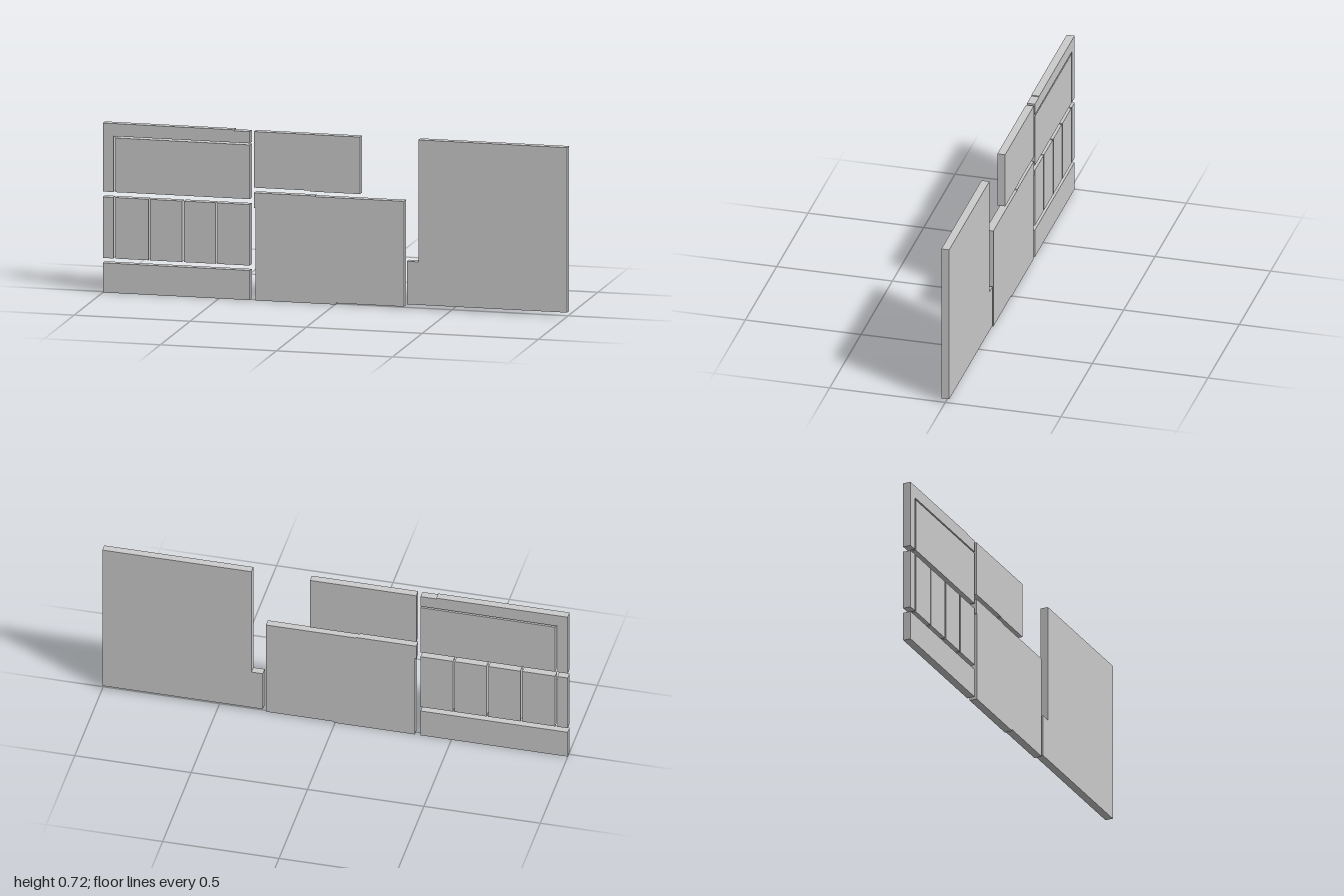
import * as THREE from 'three';

const DEPTH = 0.034;

export function createModel() {
  const group = new THREE.Group();
  const material = new THREE.MeshStandardMaterial({ color: 0xcccccc, flatShading: true });

  // Flat slab cut from an outline in the front plane
  const slab = (name, points) => {
    const shape = new THREE.Shape(points.map(([x, y]) => new THREE.Vector2(x, y)));
    const geometry = new THREE.ExtrudeGeometry(shape, { depth: DEPTH, bevelEnabled: false });
    geometry.translate(0, 0, -DEPTH / 2);
    const mesh = new THREE.Mesh(geometry, material);
    mesh.name = name;
    group.add(mesh);
  };

  // Rectangular slab given by its edges
  const board = (name, x0, x1, y0, y1) => {
    const mesh = new THREE.Mesh(new THREE.BoxGeometry(x1 - x0, y1 - y0, DEPTH), material);
    mesh.position.set((x0 + x1) / 2, (y0 + y1) / 2, 0);
    mesh.name = name;
    group.add(mesh);
  };

  // Right-hand block: corner frame around the upper panel
  slab('cornerFrame', [
    [-1, 0.43], [-0.955, 0.43], [-0.955, 0.668], [-0.367, 0.668],
    [-0.367, 0.718], [-0.435, 0.718], [-0.435, 0.722], [-1, 0.722],
  ]);
  board('upperPanel', -0.946, -0.367, 0.43, 0.661);

  // Row of upright panels
  [[-1, -0.955], [-0.946, -0.804], [-0.796, -0.659], [-0.651, -0.514], [-0.507, -0.367]]
    .forEach(([x0, x1], i) => board(`uprightPanel${i + 1}`, x0, x1, 0.147, 0.407));

  board('basePanel', -1, -0.367, 0, 0.126);

  // Centre slabs, with small steps along their edges
  slab('centreUpperPanel', [
    [-0.349, 0.48], [-0.107, 0.48], [-0.107, 0.476], [0.108, 0.476],
    [0.108, 0.719], [-0.349, 0.719],
  ]);
  slab('centreLowerPanel', [
    [-0.343, 0], [0.005, 0], [0.005, 0.006], [0.297, 0.006], [0.297, 0.455],
    [-0.087, 0.455], [-0.087, 0.458], [-0.349, 0.458], [-0.349, 0.393], [-0.343, 0.393],
  ]);

  // Large notched slab at the model's left
  slab('notchedPanel', [
    [0.31, 0.017], [1, 0.017], [1, 0.72], [0.359, 0.72], [0.359, 0.2], [0.31, 0.2],
  ]);

  return group;
}
